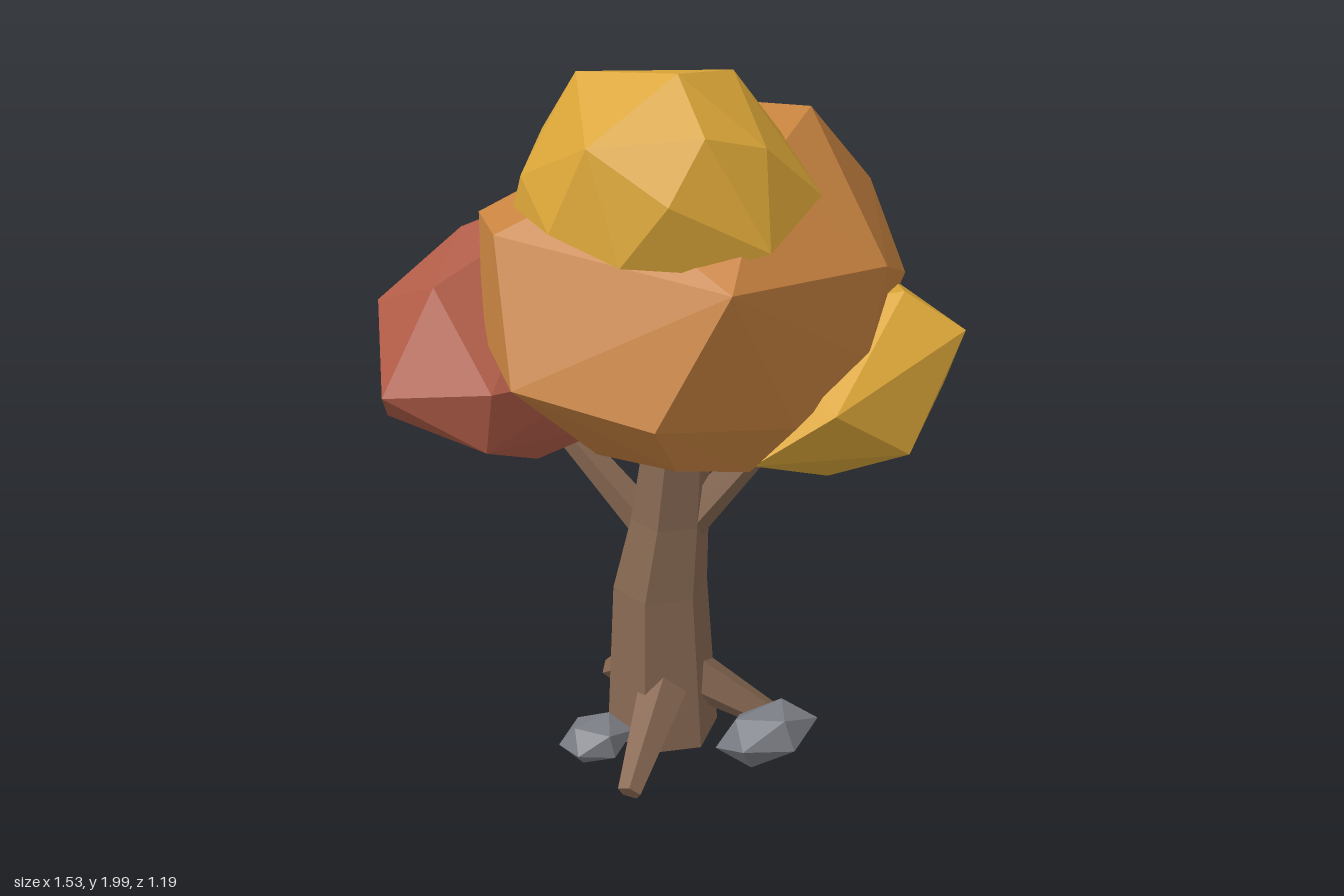
import * as THREE from 'three';
import { ConvexGeometry } from 'three/addons/geometries/ConvexGeometry.js';

const paint = (name, color) => {
  const m = new THREE.MeshStandardMaterial({ color });
  m.name = name;
  return m;
};

// Splits shared corners so every face is shaded flat
function faceted(geometry) {
  const g = geometry.index ? geometry.toNonIndexed() : geometry;
  g.computeVertexNormals();
  return g;
}

export function createModel() {
  const tree = new THREE.Group();
  tree.name = 'autumnTree';
  const orange = paint('orangeLeaves', 0xc88340);
  const gold = paint('goldLeaves', 0xdba638);
  const red = paint('redLeaves', 0xb25d48);
  const bark = paint('bark', 0x886953);
  const stone = paint('stone', 0x7a7d84);

  const add = (name, geometry, material) => {
    const mesh = new THREE.Mesh(faceted(geometry), material);
    mesh.name = name;
    tree.add(mesh);
    return mesh;
  };
  const V = (p) => new THREE.Vector3(...p);

  // Faceted leaf clump wrapped around its outermost corners
  const clump = (name, material, points) => add(name, new ConvexGeometry(points.map(V)), material);

  // Tapered limb from a to b
  function limb(name, a, b, r0, r1, sides = 5) {
    const start = V(a), dir = V(b).sub(start);
    const g = new THREE.CylinderGeometry(r1, r0, dir.length(), sides);
    const mesh = add(name, g, bark);
    mesh.position.copy(start).addScaledVector(dir, 0.5);
    mesh.quaternion.setFromUnitVectors(new THREE.Vector3(0, 1, 0), dir.normalize());
  }

  // Trunk: a six-sided column, its rings shifted and narrowed towards the top
  const rings = [ // x, y, z, radius, top to bottom
    [0.035, 1.08, 0.03, 0.085],
    [0.01, 0.72, -0.01, 0.11],
    [-0.015, 0.5, -0.03, 0.135],
    [-0.008, 0.03, -0.03, 0.163],
  ];
  const trunk = new THREE.CylinderGeometry(1, 1, 3, 6, 3);
  trunk.rotateY(Math.PI / 6 + 0.12);
  const pos = trunk.attributes.position;
  for (let i = 0; i < pos.count; i++) {
    const [x, y, z, r] = rings[Math.round(1.5 - pos.getY(i))];
    pos.setXYZ(i, x + pos.getX(i) * r, y, z + pos.getZ(i) * r);
  }
  add('trunk', trunk, bark);

  // Branches and roots
  limb('leftBranch', [0.03, 0.68, 0.01], [0.29, 1.02, 0.08], 0.058, 0.038);
  limb('rightBranch', [-0.04, 0.67, -0.05], [-0.27, 0.94, -0.14], 0.055, 0.038);
  limb('frontRoot', [0.0, 0.23, 0.03], [-0.13, 0.035, 0.31], 0.077, 0.034);
  limb('leftRoot', [0.05, 0.23, -0.01], [0.355, 0.04, 0.03], 0.077, 0.034);
  limb('backRoot', [-0.03, 0.23, -0.08], [-0.14, 0.04, -0.33], 0.077, 0.034);

  // Orange crown
  clump('mainCrown', orange, [
    [0.36, 1.86, 0.02], [0.22, 1.86, -0.04], [0.05, 1.82, -0.2], [-0.1, 1.77, -0.05],
    [-0.2, 1.72, 0.2], [0.2, 1.76, 0.28], [0.1, 1.55, 0.56], [-0.08, 1.23, 0.59],
    [-0.41, 1.27, 0.4], [-0.44, 1.6, 0.2], [-0.48, 1.58, -0.08], [-0.48, 1.3, 0.08],
    [0.51, 1.53, 0.31], [0.47, 1.3, 0.33], [0.28, 1.16, 0.43], [0.17, 1.04, 0.41],
    [0.1, 0.98, 0.08], [-0.2, 1.03, 0.25], [0.3, 1.02, -0.1], [0.65, 1.38, -0.09],
    [0.56, 1.62, -0.17], [0.56, 1.4, -0.41], [0.2, 1.44, -0.525], [-0.15, 1.4, -0.5],
    [0.38, 1.2, -0.47], [-0.05, 1.12, -0.38], [0.15, 1.64, -0.43], [-0.3, 1.1, -0.1],
    [-0.3, 1.57, -0.3], [0.46, 1.14, 0.1], [0.5, 1.16, -0.22], [-0.02, 1.09, 0.5],
  ]);

  // Gold clump on top
  clump('topClump', gold, [
    [0, 2, 0.28], [-0.23, 1.98, 0.13], [0.15, 1.975, 0.12], [-0.12, 1.92, -0.08],
    [0.06, 1.88, -0.13], [-0.12, 1.79, -0.23], [-0.31, 1.78, -0.14], [-0.39, 1.64, 0.1],
    [-0.37, 1.73, 0.14], [-0.31, 1.64, 0.34], [-0.22, 1.85, 0.37], [-0.04, 1.74, 0.49],
    [-0.15, 1.59, 0.46], [0.2, 1.62, 0.47], [0.05, 1.88, 0.42], [0.2, 1.84, 0.36],
    [0.35, 1.7, 0.27], [0.27, 1.82, 0.12], [0.3, 1.62, 0.06], [0.2, 1.7, -0.06],
    [0.05, 1.575, 0.47], [-0.2, 1.55, 0.15], [0.1, 1.5, 0.15],
  ]);

  // Red clump behind
  clump('backClump', red, [
    [-0.77, 1.28, -0.28], [-0.75, 1.01, -0.1], [-0.74, 1.16, 0.15], [-0.72, 1.12, -0.39],
    [-0.53, 1.52, -0.15], [-0.6, 1.42, 0.05], [-0.53, 1.12, -0.57], [-0.42, 1.28, -0.6],
    [-0.26, 1.25, -0.59], [-0.12, 1.24, -0.5], [-0.35, 1.54, -0.32], [-0.46, 1.2, 0.25],
    [-0.48, 1.02, 0.2], [-0.5, 0.88, -0.24], [-0.3, 0.88, -0.3], [-0.35, 0.91, 0],
    [-0.6, 0.95, -0.4], [-0.3, 0.95, -0.52], [-0.06, 1.1, -0.45], [-0.02, 1.2, -0.3],
    [-0.1, 0.97, -0.1], [-0.25, 1.57, -0.2], [-0.15, 1.2, 0.1], [-0.45, 1.41, -0.48],
  ]);

  // Small gold clump on the model's left
  clump('sideClump', gold, [
    [0.73, 1.34, 0.26], [0.76, 1.09, -0.02], [0.58, 1.43, 0.21], [0.62, 1.36, -0.09],
    [0.37, 1.2, 0.46], [0.39, 0.96, 0.28], [0.18, 1.05, 0.4], [0.45, 1.13, -0.25],
    [0.25, 1.35, 0.1], [0.3, 1.02, -0.05], [0.575, 1.06, 0.385],
  ]);

  // Stones beside the roots
  for (const [name, at, size, tilt, turn] of [
    ['leftStone', [0.265, 0.125, 0.185], [0.15, 0.085, 0.13], -0.3, 0.3],
    ['rightStone', [-0.21, 0.087, 0.11], [0.108, 0.065, 0.105], -0.1, 0.2],
  ]) {
    const g = new THREE.IcosahedronGeometry(1, 0);
    g.rotateY(0.5).scale(...size).rotateX(tilt).rotateZ(turn).translate(...at);
    add(name, g, stone);
  }

  return tree;
}
